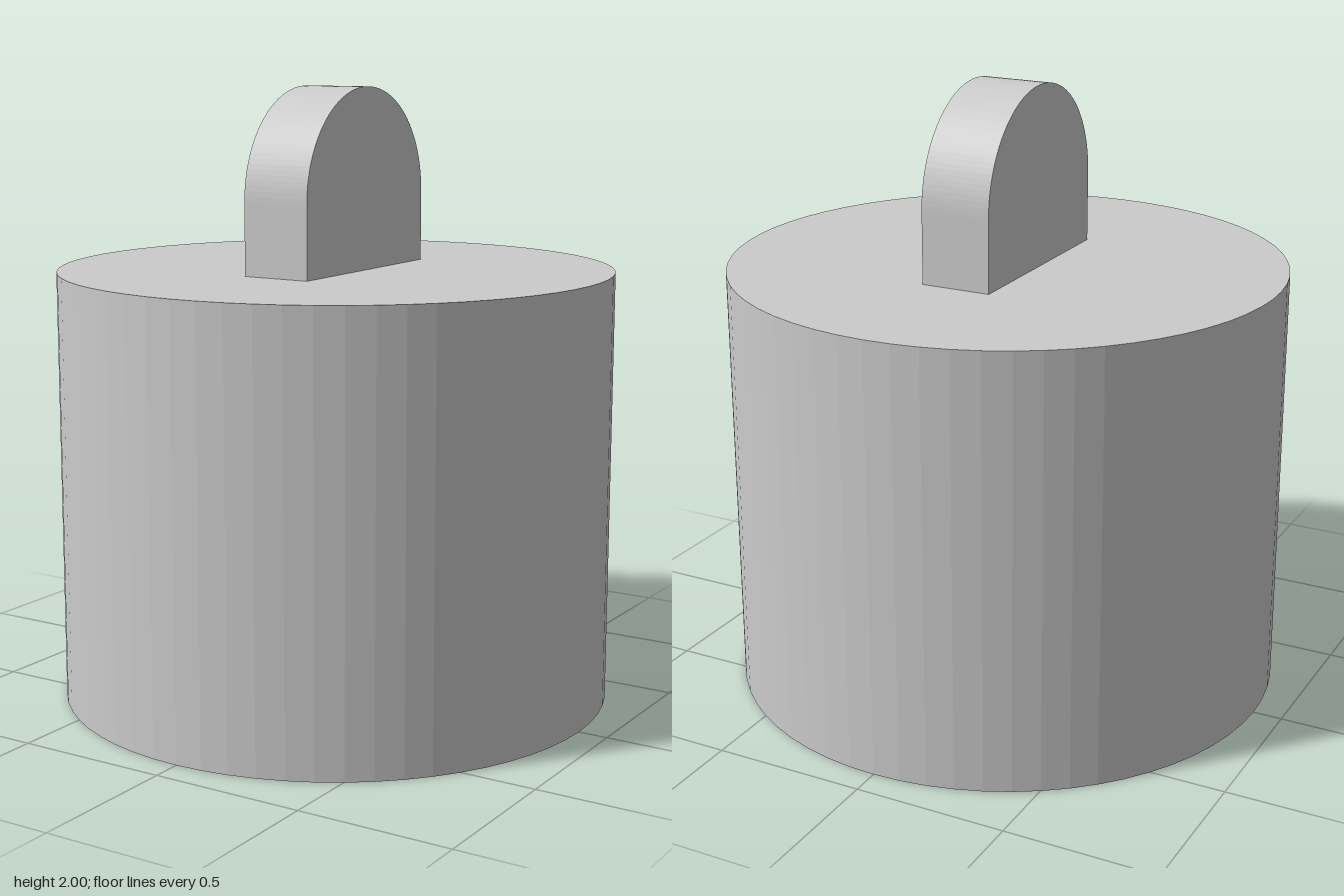
import * as THREE from 'three';

const BODY_RADIUS = 0.904, BODY_HEIGHT = 1.414;
const TAB_RADIUS = 0.353, TAB_THICKNESS = 0.232, TOP = 2;

export function createModel() {
  const group = new THREE.Group();
  const material = new THREE.MeshStandardMaterial({ color: 0xcccccc, flatShading: true });

  // Solid cylindrical body
  const body = new THREE.Mesh(
    new THREE.CylinderGeometry(BODY_RADIUS, BODY_RADIUS, BODY_HEIGHT, 64), material);
  body.name = 'body';
  body.position.y = BODY_HEIGHT / 2;
  group.add(body);

  // Upright tab with a half-round top, standing across the body from front to back
  const outline = new THREE.Shape();
  outline.moveTo(-TAB_RADIUS, BODY_HEIGHT);
  outline.lineTo(TAB_RADIUS, BODY_HEIGHT);
  outline.absarc(0, TOP - TAB_RADIUS, TAB_RADIUS, 0, Math.PI, false);
  outline.closePath();
  const tabGeometry = new THREE.ExtrudeGeometry(outline, {
    depth: TAB_THICKNESS, bevelEnabled: false, curveSegments: 32,
  });
  tabGeometry.translate(0, 0, -TAB_THICKNESS / 2);
  tabGeometry.rotateY(Math.PI / 2);
  const tab = new THREE.Mesh(tabGeometry, material);
  tab.name = 'handleTab';
  group.add(tab);

  return group;
}
